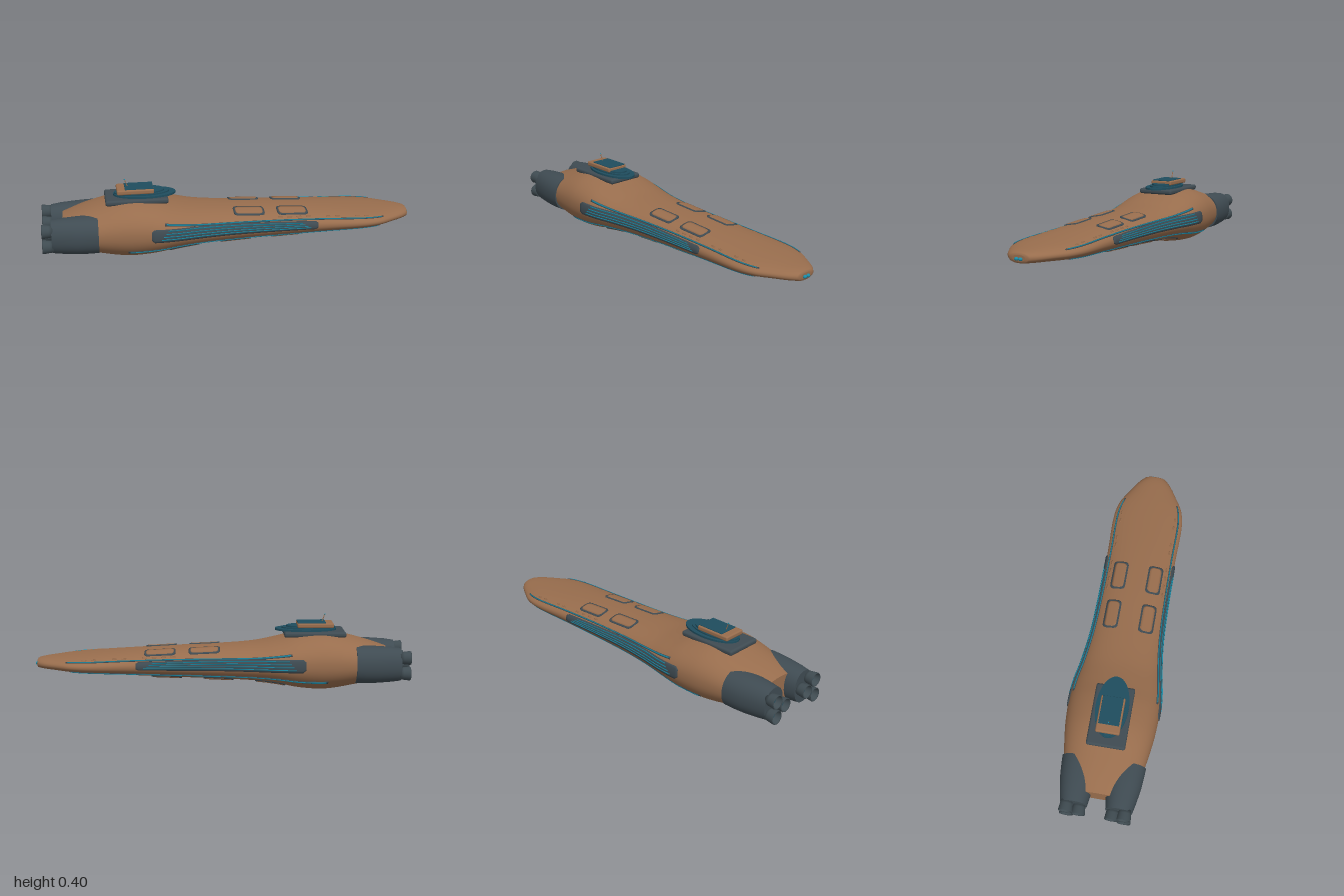
import * as THREE from 'three';
import { RoundedBoxGeometry } from 'three/addons/geometries/RoundedBoxGeometry.js';

const mat = (name, color, side = THREE.FrontSide) => {
  const m = new THREE.MeshStandardMaterial({ color, side });
  m.name = name;
  return m;
};

// Hull stations: x, bottom, top, half width
const STATIONS = [
  [-0.89, 0.075, 0.225, 0.15], [-0.8, 0.045, 0.255, 0.195], [-0.7, 0.025, 0.283, 0.215],
  [-0.6, 0.007, 0.307, 0.231], [-0.52, 0.002, 0.314, 0.24], [-0.4, 0.014, 0.3, 0.244],
  [-0.3, 0.036, 0.274, 0.237], [-0.18, 0.051, 0.25, 0.217], [0, 0.06, 0.236, 0.197],
  [0.25, 0.071, 0.224, 0.19], [0.5, 0.084, 0.209, 0.192], [0.7, 0.096, 0.194, 0.196],
  [0.8, 0.103, 0.186, 0.178], [0.88, 0.108, 0.179, 0.134], [0.95, 0.112, 0.172, 0.09], [0.982, 0.116, 0.166, 0.06],
];
const N = 2.2; // roundness of the cross-sections, a little squarer than an ellipse
const power = (v, e) => Math.sign(v) * Math.abs(v) ** e;

// Smooth section of the hull at x
function section(x) {
  const S = STATIONS, n = S.length;
  let i = 0;
  while (i < n - 2 && x > S[i + 1][0]) i++;
  const a = S[Math.max(i - 1, 0)], b = S[i], c = S[i + 1], d = S[Math.min(i + 2, n - 1)];
  const w = c[0] - b[0], t = (x - b[0]) / w;
  const [bot, top, half] = [1, 2, 3].map((k) => {
    const m0 = (c[k] - a[k]) / (c[0] - a[0]) * w, m1 = (d[k] - b[k]) / (d[0] - b[0]) * w;
    return (2 * t ** 3 - 3 * t * t + 1) * b[k] + (t ** 3 - 2 * t * t + t) * m0
      + (3 * t * t - 2 * t ** 3) * c[k] + (t ** 3 - t * t) * m1;
  });
  return { cy: (bot + top) / 2, h: (top - bot) / 2, w: half };
}

function meshGeometry(pos, index) {
  const g = new THREE.BufferGeometry();
  g.setAttribute('position', new THREE.Float32BufferAttribute(pos, 3));
  g.setIndex(index);
  g.computeVertexNormals();
  return g;
}

// Loft of rounded rings [x, cy, cz, ry, rz] with flat, crisp ends
function loft(rings, seg) {
  const first = rings[0], last = rings[rings.length - 1];
  const tip = ([x, cy, cz]) => [x, cy, cz, 0.0001, 0.0001];
  const all = [tip(first), first, ...rings, last, tip(last)];
  const pos = [], index = [];
  all.forEach(([x, cy, cz, ry, rz], i) => {
    // Doubled end rings stay unjoined so the caps keep a sharp edge
    const joined = i !== 1 && i !== all.length - 3 && i !== all.length - 1;
    for (let j = 0; j < seg; j++) {
      const a = j / seg * Math.PI * 2;
      pos.push(x, cy + ry * power(Math.sin(a), 2 / N), cz + rz * power(Math.cos(a), 2 / N));
      const k = (j + 1) % seg, p = i * seg, q = p + seg;
      if (joined) index.push(p + j, q + j, p + k, q + j, q + k, p + k);
    }
  });
  return meshGeometry(pos, index);
}

// Raised plate that follows the hull; lo and hi give the edge angles at x
function plate(x0, x1, lo, hi, off, side, nu = 40, nv = 6, corner = 0) {
  const pos = [], index = [], cols = nv + 3;
  for (let i = -1; i <= nu + 1; i++) {
    const u = THREE.MathUtils.clamp(i / nu, 0, 1), x = x0 + (x1 - x0) * u, s = section(x);
    const edge = Math.max(0, Math.min(x - x0, x1 - x));
    const inset = edge < corner ? corner - Math.sqrt(Math.max(0, corner ** 2 - (corner - edge) ** 2)) : 0;
    let a0 = lo(s, u), a1 = hi(s, u);
    const trim = Math.min(inset / s.w, (a1 - a0) * 0.45);
    a0 += trim;
    a1 -= trim;
    for (let j = -1; j <= nv + 1; j++) {
      const a = a0 + (a1 - a0) * THREE.MathUtils.clamp(j / nv, 0, 1);
      const rim = i < 0 || i > nu || j < 0 || j > nv;
      const c = Math.cos(a), t = Math.sin(a), d = rim ? -0.004 : off;
      const n = new THREE.Vector2(power(c, 2 - 2 / N) / s.w, power(t, 2 - 2 / N) / s.h).normalize();
      pos.push(x, s.cy + s.h * power(t, 2 / N) + n.y * d, side * (s.w * power(c, 2 / N) + n.x * d));
    }
  }
  for (let i = 0; i < nu + 2; i++) for (let j = 0; j < nv + 2; j++) {
    const p = i * cols + j, q = p + cols;
    if (side > 0) index.push(p, q, p + 1, q, q + 1, p + 1);
    else index.push(p, p + 1, q, q, p + 1, q + 1);
  }
  return meshGeometry(pos, index);
}

// Edge rules: a height, a distance from the middle, or a steady angle
const atY = (y0, y1) => (s, u) =>
  Math.asin(power(THREE.MathUtils.clamp((y0 + (y1 - y0) * u - s.cy) / s.h, -1, 1), N / 2));
const atZ = (z, up) => (s) => up * Math.acos(Math.min(z / s.w, 1) ** (N / 2));
const atAngle = (a0, a1) => (s, u) => a0 + (a1 - a0) * u;

export function createModel() {
  const model = new THREE.Group();
  const bronze = mat('bronze hull', 0x986d4d);
  const slate = mat('slate grey', 0x3f4b52);
  const nozzleGrey = mat('nozzle grey', 0x3f4b51, THREE.DoubleSide);
  const deepTeal = mat('deep teal', 0x1f4d5e);
  const teal = mat('bright teal', 0x1b8ba6);
  const add = (name, geo, material, x = 0, y = 0, z = 0) => {
    const m = new THREE.Mesh(geo, material);
    m.name = name;
    m.position.set(x, y, z);
    model.add(m);
    return m;
  };

  // Main hull with a softened nose
  const rings = [];
  for (let i = 0; i <= 90; i++) {
    const x = -0.89 + 1.872 * i / 90, s = section(x);
    rings.push([x, s.cy, 0, s.h, s.w]);
  }
  rings.push([0.986, 0.141, 0, 0.022, 0.05], [0.988, 0.141, 0, 0.015, 0.036]);
  add('hull', loft(rings, 72), bronze);

  for (const side of [1, -1]) {
    // Engine pod with three nozzles
    const pod = [[-0.95, 0.149, 0.118, 0.087, 0.07], [-0.9, 0.15, 0.12, 0.093, 0.079],
      [-0.82, 0.15, 0.121, 0.098, 0.092], [-0.76, 0.151, 0.121, 0.1, 0.097], [-0.71, 0.152, 0.121, 0.099, 0.1]];
    add('enginePod', loft(pod.map(([x, y, z, ry, rz]) => [x, y, side * z, ry, rz]), 48), slate);
    for (const [y, z] of [[0.19, 0.151], [0.106, 0.151], [0.148, 0.087]]) {
      const profile = [[0.001, 0], [0.03, 0], [0.033, 0.02], [0.037, 0.054], [0.035, 0.058], [0.032, 0.056], [0.022, 0.02], [0.001, 0.016]];
      const nozzle = add('nozzle', new THREE.LatheGeometry(profile.map((p) => new THREE.Vector2(...p)), 24),
        nozzleGrey, -0.942, y, side * z);
      nozzle.rotation.z = Math.PI / 2;
      const core = add('nozzleCore', new THREE.CircleGeometry(0.023, 20), deepTeal, -0.969, y, side * z);
      core.rotation.y = -Math.PI / 2;
    }

    // Long side bay with thin bright strips
    add('sideBay', plate(-0.44, 0.45, atY(0.131, 0.136), atY(0.199, 0.173), 0.006, side, 60, 6, 0.02), slate);
    for (let k = 0; k < 4; k++) {
      const a = 0.142 + k * 0.0145, b = 0.1425 + k * 0.0075;
      const from = -0.39 + 0.012 * k, to = 0.41 - 0.015 * k;
      add('sideStrip', plate(from, to, atY(a, b), atY(a + 0.005, b + 0.0035), 0.0075, side, 50, 1), teal);
    }

    // Running lines above and below the bay
    for (const [x0, x1, a0, a1] of [[-0.37, 0.82, 0.43, 0.53], [-0.56, 0.8, -0.56, -0.54]]) {
      add('lineBed', plate(x0, x1, atAngle(a0 - 0.045, a1 - 0.045), atAngle(a0 + 0.045, a1 + 0.045), 0.003, side, 70, 2), slate);
      add('runningLine', plate(x0 + 0.01, x1 - 0.01, atAngle(a0 - 0.024, a1 - 0.024), atAngle(a0 + 0.024, a1 + 0.024),
        0.005, side, 70, 1), teal);
    }

    // Framed hatches on the back and the belly
    const hatch = (x, z, lx, lz, up) => {
      for (const [inset, off, material, name] of [[0, 0.005, slate, 'hatchFrame'], [0.009, 0.007, bronze, 'hatchPanel']]) {
        const zIn = z - lz / 2 + inset, zOut = z + lz / 2 - inset;
        const [lo, hi] = up > 0 ? [zOut, zIn] : [zIn, zOut];
        add(name, plate(x - lx / 2 + inset, x + lx / 2 - inset, atZ(lo, up), atZ(hi, up), off, side, 32, 6, 0.02), material);
      }
    };
    for (const x of [0.09, 0.325]) hatch(x, 0.096, 0.165, 0.08, 1);
    for (const x of [0.29, 0.015, -0.26]) hatch(x, 0.108, 0.16, 0.09, -1);

    // Rows of small ports along the shoulders
    for (const x of [0.24, 0.29, 0.34, 0.39, 0.5, 0.55, 0.66, 0.71]) {
      add('port', plate(x, x + 0.026, atZ(0.155, 1), atZ(0.147, 1), 0.002, side, 8, 2, 0.004), bronze);
    }

    // Nose lamps
    const lamp = add('noseLamp', new THREE.SphereGeometry(0.011, 20, 14), teal, 0.989, 0.137, side * 0.0115);
    lamp.scale.y = 0.82;
  }

  // Bridge: base slab, oval decks, cabin and roof
  add('bridgeBase', new RoundedBoxGeometry(0.33, 0.029, 0.204, 5, 0.012), slate, -0.5, 0.303, 0);
  const oval = (name, x, y, rx, rz, h, material) =>
    add(name, new THREE.CylinderGeometry(1, 1, h, 56), material, x, y, 0).scale.set(rx, 1, rz);
  oval('bridgeDeck', -0.455, 0.322, 0.165, 0.086, 0.011, deepTeal);
  oval('upperDeck', -0.47, 0.331, 0.145, 0.068, 0.008, deepTeal);
  oval('bridgeWindow', -0.46, 0.339, 0.11, 0.06, 0.008, deepTeal);
  add('cabin', new RoundedBoxGeometry(0.195, 0.026, 0.126, 4, 0.008), bronze, -0.505, 0.346, 0);
  add('cabinRoof', new RoundedBoxGeometry(0.15, 0.006, 0.108, 2, 0.002), deepTeal, -0.485, 0.36, 0);

  // Leaning mast with a lamp
  const mast = add('mast', new THREE.CylinderGeometry(0.002, 0.0025, 0.046, 10), bronze, -0.55, 0.379, 0);
  mast.rotation.z = 0.35;
  add('mastLamp', new THREE.SphereGeometry(0.0035, 12, 8), teal, -0.558, 0.4, 0);

  return model;
}
